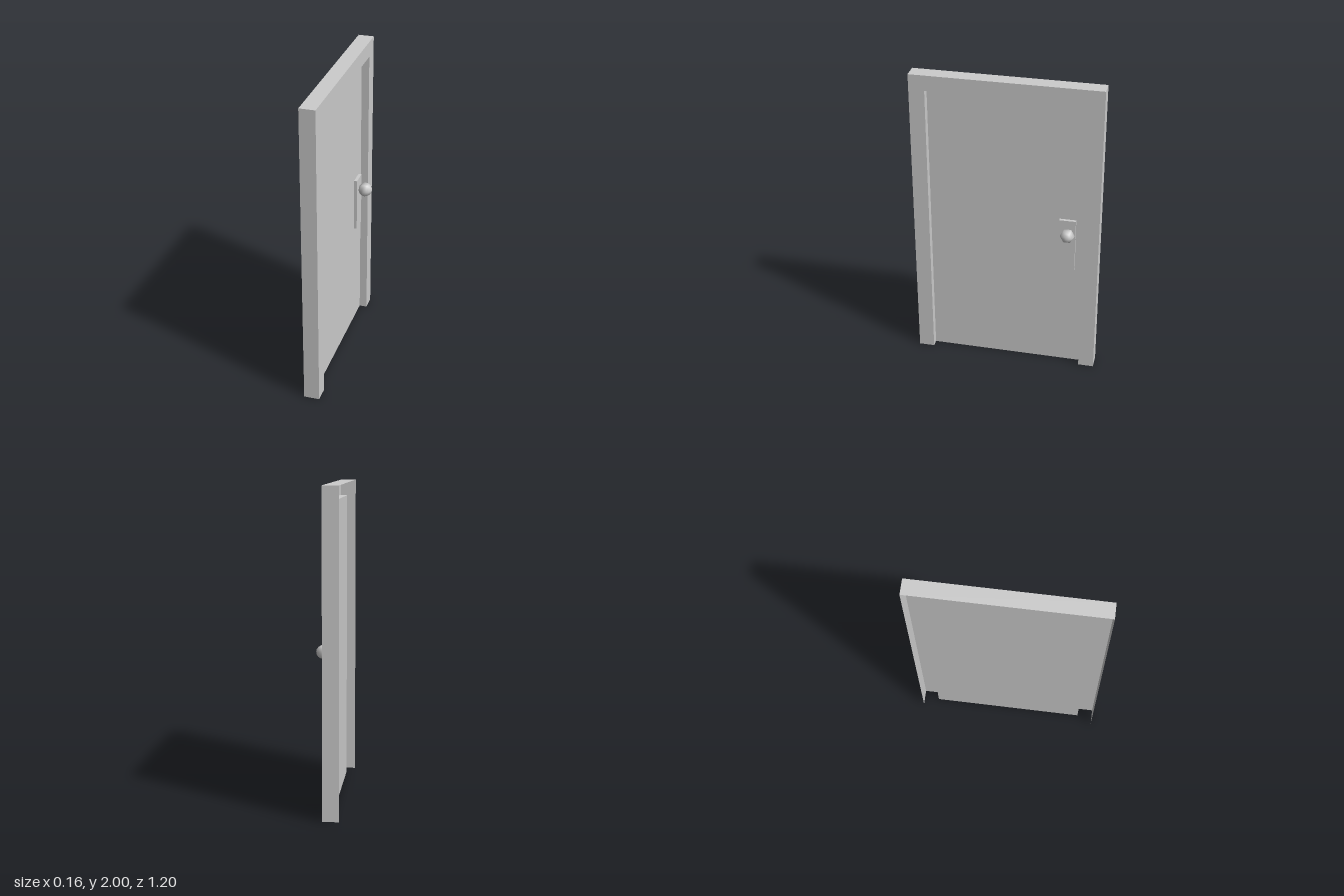
import * as THREE from 'three';

const FRONT = 0.02, BACK = -0.08, PANEL = -0.03; // x of frame face, frame back edge, door leaf

const shell = new THREE.MeshStandardMaterial({ color: 0xcccccc, side: THREE.DoubleSide });
const solid = new THREE.MeshStandardMaterial({ color: 0xcccccc });

// Upside-down U running up one jamb, across the head and down the other, as [z, y]
const archPath = (halfWidth, height) =>
  [[halfWidth, 0], [halfWidth, height], [-halfWidth, height], [-halfWidth, 0]];

// Open strip of flat walls following a [z, y] path between two x depths
function strip(path, xa, xb) {
  const pos = [];
  for (let i = 0; i < path.length - 1; i++) {
    const [z0, y0] = path[i], [z1, y1] = path[i + 1];
    const a = [xa, y0, z0], b = [xb, y0, z0], c = [xb, y1, z1], d = [xa, y1, z1];
    pos.push(...a, ...b, ...c, ...a, ...c, ...d);
  }
  const g = new THREE.BufferGeometry();
  g.setAttribute('position', new THREE.Float32BufferAttribute(pos, 3));
  g.computeVertexNormals();
  return g;
}

export function createModel() {
  const group = new THREE.Group();
  const add = (name, geometry, material) => {
    const mesh = new THREE.Mesh(geometry, material);
    mesh.name = name;
    group.add(mesh);
    return mesh;
  };

  const outer = archPath(0.6, 2), inner = archPath(0.5, 1.9);

  // Frame face: a U-shaped plate, drawn in the xy plane and turned to face +x
  const face = new THREE.Shape([...outer, ...inner.slice().reverse()].map(p => new THREE.Vector2(...p)));
  add('frameFace', new THREE.ShapeGeometry(face).rotateY(Math.PI / 2).translate(FRONT, 0, 0), shell);

  // Outer walls, open at the back and bottom
  add('frameSides', strip(outer, FRONT, BACK), shell);

  // Reveal stepping back from the frame face to the door leaf
  add('frameReveal', strip(inner, PANEL, FRONT), shell);

  // Door leaf
  add('doorPanel', new THREE.PlaneGeometry(1, 1.9).rotateY(Math.PI / 2).translate(PANEL, 0.95, 0), shell);

  // Lock plate standing on the leaf
  add('lockPlate', new THREE.BoxGeometry(0.02, 0.36, 0.106), solid).position.set(PANEL + 0.01, 0.905, -0.393);

  // Six-sided knob with its axis along x
  const knob = new THREE.SphereGeometry(0.046, 6, 8).rotateY(Math.PI / 2).rotateZ(-Math.PI / 2);
  add('doorKnob', knob, solid).position.set(0.03, 1, -0.4);

  return group;
}
